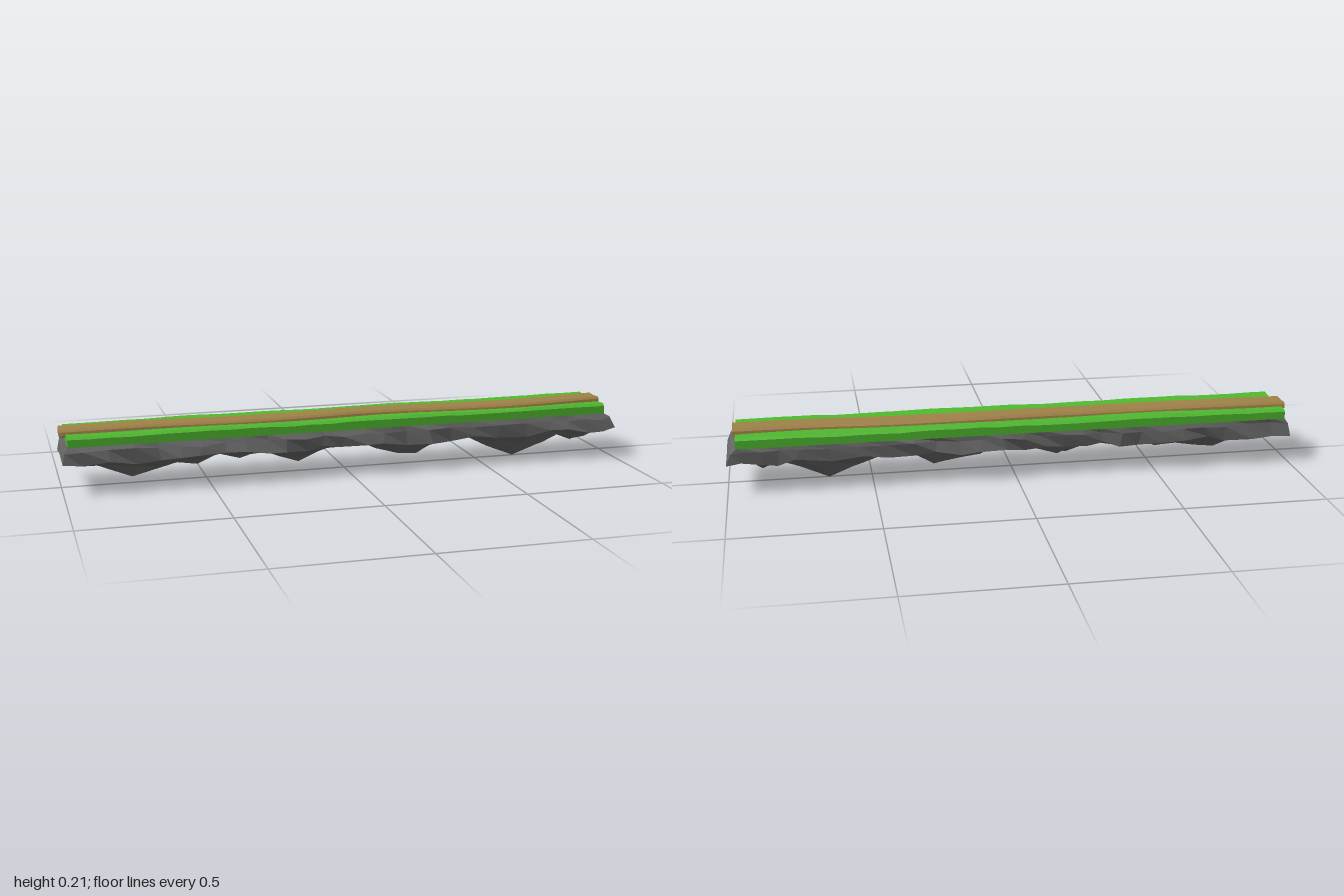
import * as THREE from 'three';

// Skin closed [x, y, z] loops that advance along +x; each runs -z to +z across its top.
function loft(name, color, sections) {
  const pos = [];
  const tri = (a, b, c) => pos.push(...a, ...b, ...c);
  const n = sections[0].length;
  for (let i = 0; i < sections.length - 1; i++) {
    for (let j = 0; j < n; j++) {
      const k = (j + 1) % n;
      const a = sections[i][j], b = sections[i][k];
      const c = sections[i + 1][k], d = sections[i + 1][j];
      tri(a, b, c);
      tri(a, c, d);
    }
  }
  // End caps
  [sections[0], sections[sections.length - 1]].forEach((loop, end) => {
    const mid = [0, 1, 2].map(q => loop.reduce((s, p) => s + p[q], 0) / n);
    for (let j = 0; j < n; j++) {
      const k = (j + 1) % n;
      if (end) tri(mid, loop[j], loop[k]);
      else tri(mid, loop[k], loop[j]);
    }
  });
  const geo = new THREE.BufferGeometry();
  geo.setAttribute('position', new THREE.Float32BufferAttribute(pos, 3));
  geo.computeVertexNormals();
  const mesh = new THREE.Mesh(geo, new THREE.MeshStandardMaterial({ color, flatShading: true }));
  mesh.name = name;
  return mesh;
}

// Seeded noise in -1..1
function seeded(seed) {
  return () => {
    seed = (seed * 16807) % 2147483647;
    return (seed / 2147483647) * 2 - 1;
  };
}

// Evenly spaced stations along x
const stations = (from, to, count) =>
  Array.from({ length: count + 1 }, (_, i) => from + (to - from) * i / count);

// Depth of the rock's lowest ridge: [x, y]
const KEEL = [
  [-1, .115], [-.93, .105], [-.85, .06], [-.76, .025], [-.68, .04], [-.6, .06],
  [-.53, .048], [-.45, .085], [-.38, .06], [-.3, .08], [-.24, .06], [-.17, .035],
  [-.1, .065], [-.03, .085], [.05, .1], [.12, .06], [.2, .04], [.28, .03],
  [.36, .08], [.45, .09], [.55, .04], [.65, 0], [.75, .04], [.82, .07],
  [.88, .045], [.95, .1], [1, .105],
];

// Meandering centre line of the path, as z over x
const pathLine = new THREE.SplineCurve([
  [-1, -.018], [-.75, -.015], [-.4, -.006], [-.1, -.008],
  [.25, -.016], [.5, -.008], [.75, .004], [.97, -.006],
].map(p => new THREE.Vector2(...p)));

function createRock() {
  const rnd = seeded(4711);
  const sections = KEEL.map(([x, low]) => {
    const rimX = THREE.MathUtils.clamp(x, -.98, .96);
    const ridge = rnd() * .014;
    // One flank from ridge to rim; side is +1 front, -1 back
    const flank = side => {
      const grow = side < 0 ? .006 : 0;
      const shoulderY = .105 + rnd() * .012;
      const slide = () => (Math.abs(x) > .94 ? 0 : rnd() * .018);
      const lowY = THREE.MathUtils.lerp(low, shoulderY, .28 + rnd() * .12);
      const midY = THREE.MathUtils.lerp(low, shoulderY, .72 + rnd() * .14);
      return [
        [x + slide(), lowY, ridge + side * (.036 + rnd() * .01)],
        [x + slide(), midY, side * (.078 + rnd() * .012)],
        [x + slide(), shoulderY, side * (.121 + grow + rnd() * .013)],
        [rimX + (x - rimX) * .6, .146 + rnd() * .005, side * (.114 + grow + rnd() * .009)],
        [rimX, .165, side < 0 ? -.116 : .101],
      ];
    };
    const front = flank(1), back = flank(-1);
    return [...back, ...front.reverse(), [x, low, ridge]];
  });
  return loft('rock', 0x646464, sections);
}

function createGrass() {
  const rnd = seeded(99);
  const sections = stations(-.98, .965, 28).map(x => {
    const z = pathLine.getPoint((x + 1) / 1.97).y;
    const wave = Math.sin(x * 9) * .0015;
    const h = () => wave + rnd() * .0015;
    return [
      [x, .162, -.12], [x, .19 + h(), -.12], [x, .198 + h(), -.11],
      [x, .195 + h(), -.08], [x, .192 + wave, z - .047],
      [x, .186, z - .04], [x, .186, z + .04],
      [x, .192 + wave, z + .047], [x, .195 + h(), .07],
      [x, .198 + h(), .095], [x, .19 + h(), .105], [x, .162, .105],
    ];
  });
  return loft('grass', 0x4fba2f, sections);
}

function createPath() {
  const sections = stations(-1, .975, 32).map(x => {
    const z = pathLine.getPoint((x + 1) / 1.97).y;
    const top = .204 + Math.sin(x * 8 + 1) * .0015 + (x > .8 ? (x - .8) * .02 : 0);
    // [offset across, height]
    return [
      [-.046, .184], [-.043, top - .006], [-.036, top + .001], [-.015, top - .001],
      [.015, top - .001], [.034, top + .001], [.041, top - .006], [.044, .184],
      [.025, .177], [-.025, .177],
    ].map(([dz, y]) => [x, y, z + dz]);
  });
  return loft('dirtPath', 0xa08248, sections);
}

export function createModel() {
  const model = new THREE.Group();
  model.name = 'floatingPathIsland';
  model.add(createRock(), createGrass(), createPath());
  return model;
}
